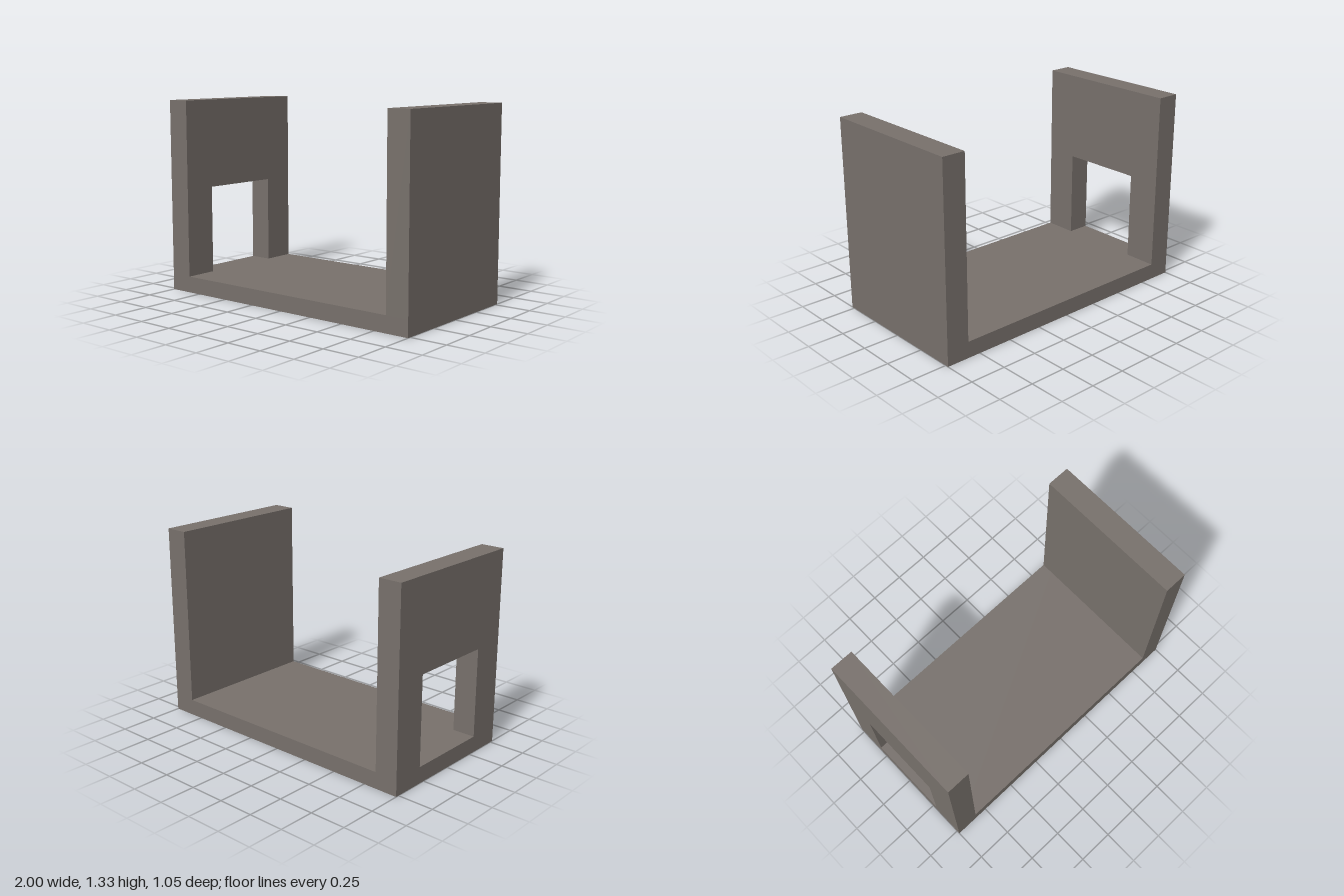
import * as THREE from 'three';

export function createModel() {
  const group = new THREE.Group();
  const stone = new THREE.MeshStandardMaterial({ color: 0x78716c });
  stone.name = 'warm grey stone';

  const height = 1.333, halfDepth = 0.523, floorTop = 0.112, wall = 0.16;
  const doorHalf = 0.293, doorTop = 0.72;

  const add = (name, geometry, x, y) => {
    const mesh = new THREE.Mesh(geometry, stone);
    mesh.name = name;
    mesh.position.set(x, y, 0);
    group.add(mesh);
  };

  // Floor slab under both walls
  add('floor', new THREE.BoxGeometry(2, floorTop, halfDepth * 2), 0, floorTop / 2);

  // Solid wall on the left (+x)
  const wallHeight = height - floorTop;
  add('solidWall', new THREE.BoxGeometry(wall, wallHeight, halfDepth * 2),
    1 - wall / 2, floorTop + wallHeight / 2);

  // Wall with a doorway down to the floor (-x), outlined in z and y
  const outline = new THREE.Shape([
    [-halfDepth, floorTop], [-doorHalf, floorTop], [-doorHalf, doorTop], [doorHalf, doorTop],
    [doorHalf, floorTop], [halfDepth, floorTop], [halfDepth, height], [-halfDepth, height],
  ].map(([z, y]) => new THREE.Vector2(z, y)));
  const doorWall = new THREE.ExtrudeGeometry(outline, { depth: wall, bevelEnabled: false });
  doorWall.rotateY(-Math.PI / 2);
  add('doorwayWall', doorWall, -1 + wall, 0);

  return group;
}
